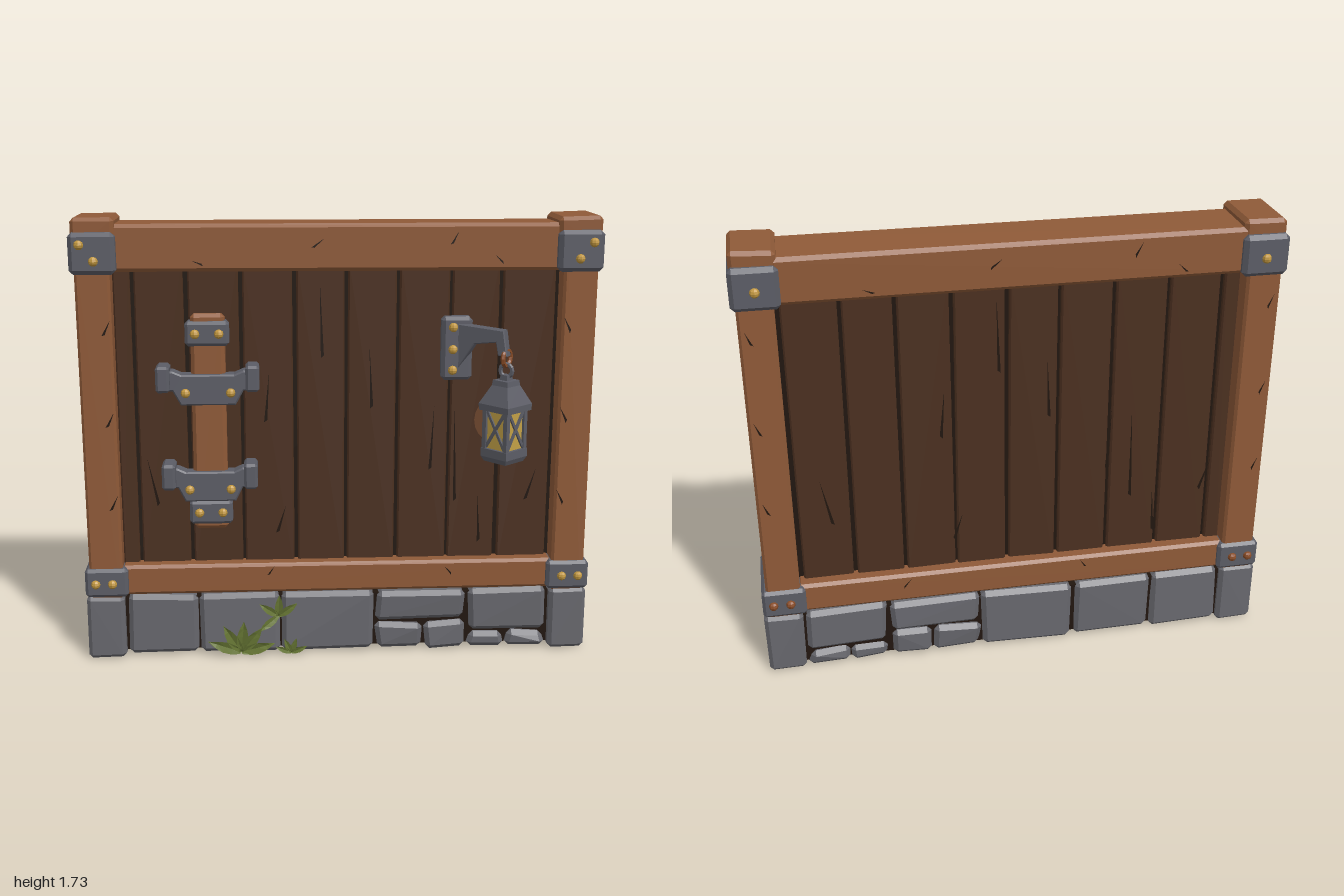
import * as THREE from 'three';
import { ConvexGeometry } from 'three/addons/geometries/ConvexGeometry.js';

const V = (x, y, z) => new THREE.Vector3(x, y, z);

function mat(name, color, side = THREE.FrontSide) {
  const m = new THREE.MeshStandardMaterial({ color, side, flatShading: true });
  m.name = name;
  return m;
}

export function createModel() {
  const root = new THREE.Group();
  root.name = 'timberWallSection';
  const wood = mat('warm wood', 0x8f5a38);
  const plankMat = mat('dark planks', 0x4b3020);
  const dark = mat('dark gaps', 0x21160f, THREE.DoubleSide);
  const metal = mat('iron', 0x5c5d66);
  const stone = mat('stone', 0x68686e);
  const gold = mat('brass', 0xc0963f);
  const glass = mat('lantern glass', 0xc2a047);
  const rust = mat('rusty iron', 0x8a4d28);
  const leafMat = mat('leaf green', 0x6a7a36, THREE.DoubleSide);
  const knot = mat('lighter wood patch', 0x6b4329, THREE.DoubleSide);

  let seed = 7;
  const rnd = () => {
    seed = (seed * 16807) % 2147483647;
    return seed / 2147483647 - 0.5;
  };

  function add(name, geometry, material, x = 0, y = 0, z = 0, parent = root) {
    const m = new THREE.Mesh(geometry, material);
    m.name = name;
    m.position.set(x, y, z);
    parent.add(m);
    return m;
  }

  // Chamfered block between two corners, optionally roughened
  function block(name, material, [x0, x1], [y0, y1], [z0, z1], bevel = 0.012, rough = 0, parent = root) {
    const hx = (x1 - x0) / 2, hy = (y1 - y0) / 2, hz = (z1 - z0) / 2, pts = [];
    for (const sx of [-1, 1]) for (const sy of [-1, 1]) for (const sz of [-1, 1]) {
      const dx = rnd() * rough, dy = rnd() * rough, dz = rnd() * rough;
      for (const [a, b, c] of [[0, 1, 1], [1, 0, 1], [1, 1, 0]]) {
        pts.push(V(sx * (hx - a * bevel) + dx, sy * (hy - b * bevel) + dy, sz * (hz - c * bevel) + dz));
      }
    }
    return add(name, new ConvexGeometry(pts), material, (x0 + x1) / 2, (y0 + y1) / 2, (z0 + z1) / 2, parent);
  }

  const boltGeo = new THREE.SphereGeometry(0.018, 8, 6);
  const bolt = (x, y, z, material = gold) => add('bolt', boltGeo, material, x, y, z);

  // Stone footing: rough blocks around a dark core
  add('footingCore', new THREE.BoxGeometry(1.94, 0.22, 0.21), dark, 0, 0.14, -0.075);
  const stones = [
    [-0.83, -0.56, 0.015, 0.265], [-0.55, -0.235, 0.015, 0.265], [-0.225, 0.14, 0.015, 0.265],
    [0.15, 0.505, 0.135, 0.265], [0.15, 0.335, 0.015, 0.127], [0.345, 0.505, 0.015, 0.127],
    [0.52, 0.83, 0.085, 0.265], [0.52, 0.665, 0.015, 0.08], [0.675, 0.83, 0.015, 0.08],
  ];
  for (const [x0, x1, y0, y1] of stones) block('footingStone', stone, [x0, x1], [y0, y1], [-0.2, 0.055], 0.018, 0.012);

  // Corner stones, posts, caps and iron sleeves
  for (const s of [-1, 1]) {
    const span = (a, b) => (s > 0 ? [a, b] : [-b, -a]);
    block('cornerStone', stone, span(0.842, 0.99), [0.01, 0.267], [-0.205, 0.07], 0.015, 0.006);
    block('post', wood, span(0.845, 0.975), [0.26, 1.6], [-0.2, 0.066], 0.01);
    block('postCap', wood, span(0.825, 0.985), [1.6, 1.735], [-0.19, 0.06], 0.014, 0.006);
    block('lowerSleeve', metal, span(0.825, 0.992), [0.27, 0.385], [-0.212, 0.08], 0.012);
    block('upperSleeve', metal, span(0.82, 0.992), [1.53, 1.685], [-0.215, 0.082], 0.016);
    bolt(s * 0.95, 1.64, 0.082);
    bolt(s * 0.9, 1.58, 0.082);
    bolt(s * 0.905, 1.6, -0.215);
    for (const x of [0.885, 0.95]) {
      bolt(s * x, 0.325, 0.08);
      bolt(s * x, 0.325, -0.212, rust);
    }
  }

  // Horizontal beams
  block('topBeam', wood, [-0.85, 0.85], [1.535, 1.71], [-0.19, 0.045], 0.014, 0.006);
  block('bottomBeam', wood, [-0.85, 0.85], [0.268, 0.388], [-0.19, 0.052], 0.012, 0.004);

  // Vertical planks over a dark backing
  add('plankBacking', new THREE.BoxGeometry(1.7, 1.18, 0.1), dark, 0, 0.96, -0.07);
  const joints = [-0.85, -0.775, -0.575, -0.37, -0.165, 0.03, 0.23, 0.43, 0.625, 0.835];
  for (let i = 0; i < joints.length - 1; i++) {
    block('plank', plankMat, [joints[i] + 0.007, joints[i + 1] - 0.007], [0.37, 1.55], [-0.14, 0], 0.006, 0.006);
  }

  // Thin dark cracks: x, y, length, lean, surface depth
  const crack = (x, y, len, lean, z) => {
    const w = Math.min(0.012, len * 0.14);
    const shape = new THREE.Shape([[-w / 2, 0], [w / 2, 0.01], [0, len]].map(p => new THREE.Vector2(...p)));
    add('crack', new THREE.ShapeGeometry(shape), dark, x, y, z).rotation.z = lean;
  };
  const plankCracks = [[-0.7, 0.62, 0.2, 0.2], [-0.28, 0.95, 0.2, -0.08], [-0.06, 1.2, 0.3, 0.03], [-0.24, 0.5, 0.12, -0.3],
    [0.13, 1.0, 0.24, 0.04], [0.36, 0.75, 0.26, -0.05], [0.46, 0.62, 0.4, 0.02], [0.74, 0.62, 0.14, -0.3], [0.56, 0.45, 0.2, 0.05]];
  for (const [x, y, l, a] of plankCracks) {
    crack(x, y, l, a, 0.006);
    crack(-x, y, l, -a, -0.146);
  }
  const beamCracks = [[-0.1, 1.62, 0.06, -0.9], [0.42, 1.63, 0.06, -0.5], [-0.5, 1.56, 0.05, 1.2], [0.62, 1.56, 0.05, 0.8]];
  for (const [x, y, l, a] of beamCracks) {
    crack(x, y, l, a, 0.05);
    crack(-x, y, l, -a, -0.195);
  }
  for (const [x, y, l, a] of [[-0.28, 0.34, 0.05, -0.6], [0.45, 0.33, 0.05, 0.7]]) {
    crack(x, y, l, a, 0.056);
    crack(x, y, l, a, -0.194);
  }
  for (const s of [-1, 1]) for (const y of [0.62, 0.95, 1.3]) {
    crack(s * 0.88, y, 0.07, s * 0.45, 0.069);
    crack(s * 0.93, y + 0.1, 0.06, -s * 0.4, -0.203);
  }

  // Hanging board on the wall with end bands
  const bx = -0.495;
  block('hangingBoard', wood, [bx - 0.065, bx + 0.065], [0.535, 1.378], [-0.01, 0.045], 0.014, 0.006);
  for (const y of [1.305, 0.605]) {
    block('boardBand', metal, [bx - 0.083, bx + 0.083], [y - 0.047, y + 0.047], [-0.01, 0.06], 0.012);
    for (const s of [-1, 1]) bolt(bx + s * 0.045, y, 0.06);
  }

  // Winged straps with outward hooks
  const half = [[0.1, -0.06], [0.13, -0.005], [0.185, -0.005], [0.185, 0.06], [0.135, 0.06], [0.1, 0.045]];
  const outline = [...half, ...half.map(([x, y]) => [-x, y]).reverse()];
  for (const [y, w] of [[1.1, 1], [0.72, 0.93]]) {
    const shape = new THREE.Shape(outline.map(([x, v]) => new THREE.Vector2(x * w, v)));
    const geo = new THREE.ExtrudeGeometry(shape, { depth: 0.055, bevelSize: 0.006, bevelThickness: 0.006, bevelSegments: 1 });
    add('wingedStrap', geo, metal, bx, y, 0.008);
    for (const s of [-1, 1]) {
      const hx = bx + s * 0.168 * w;
      block('strapHook', metal, [hx - 0.026, hx + 0.026], [y - 0.01, y + 0.09], [0, 0.108], 0.01);
      bolt(bx + s * 0.085 * w, y - 0.018, 0.07);
    }
  }

  // Lantern mount: wall plate, swung arm with brace, and hook end
  block('mountPlate', metal, [0.392, 0.51], [1.115, 1.36], [-0.01, 0.045], 0.014);
  for (const [x, y] of [[0.435, 1.32], [0.435, 1.235], [0.435, 1.155]]) bolt(x, y, 0.045);
  const armShape = new THREE.Shape([[0, 0.15], [0.18, 0.14], [0.195, 0.05], [0.165, 0.05], [0.155, 0.1], [0.06, 0.085], [0, -0.01]]
    .map(p => new THREE.Vector2(...p)));
  const arm = add('mountArm', new THREE.ExtrudeGeometry(armShape,
    { depth: 0.03, bevelSize: 0.004, bevelThickness: 0.004, bevelSegments: 1 }), metal, 0.475, 1.18, 0.02);
  arm.rotation.y = -0.6;

  // Chain rings
  const ring = (name, material, y, r, turn) =>
    (add(name, new THREE.TorusGeometry(r, 0.009, 6, 12), material, 0.625, y, 0.135).rotation.y = turn);
  ring('chainLink', rust, 1.218, 0.03, 0.9);
  ring('lanternRing', metal, 1.17, 0.024, -0.6);

  // Lantern, turned on its corner
  const lantern = new THREE.Group();
  lantern.name = 'lantern';
  lantern.position.set(0.625, 0, 0.138);
  lantern.rotation.y = 0.7;
  root.add(lantern);
  const square = (name, material, y0, y1, w0, w1) => {
    const g = new THREE.CylinderGeometry(w1 / Math.SQRT2, w0 / Math.SQRT2, y1 - y0, 4);
    g.rotateY(Math.PI / 4);
    add(name, g, material, 0, (y0 + y1) / 2, 0, lantern);
  };
  square('lanternFoot', metal, 0.82, 0.84, 0.105, 0.125);
  square('lanternBase', metal, 0.84, 0.872, 0.125, 0.125);
  square('lanternGlass', glass, 0.87, 1.03, 0.1, 0.1);
  square('lanternBrim', metal, 1.02, 1.045, 0.14, 0.142);
  square('lanternRoof', metal, 1.045, 1.115, 0.142, 0.075);
  square('lanternCap', metal, 1.115, 1.135, 0.075, 0.07);
  square('lanternNeck', metal, 1.135, 1.155, 0.035, 0.03);
  for (let i = 0; i < 4; i++) {
    const side = new THREE.Group();
    side.name = 'lanternSide';
    side.rotation.y = i * Math.PI / 2;
    lantern.add(side);
    add('lanternPost', new THREE.BoxGeometry(0.018, 0.16, 0.018), metal, 0.051, 0.95, 0.051, side);
    for (const a of [-0.55, 0.55]) {
      add('lanternCrossBar', new THREE.BoxGeometry(0.011, 0.165, 0.008), metal, 0, 0.95, 0.053, side).rotation.z = a;
    }
  }
  add('wallPatch', new THREE.CircleGeometry(0.095, 20), knot, 0.625, 0.95, 0.005);

  // Weeds: fans of pointed, drooping leaves
  function weed(x, y, size, angles) {
    for (const a of angles) {
      const g = new THREE.PlaneGeometry(1, 1, 2, 4), p = g.attributes.position;
      for (let i = 0; i < p.count; i++) {
        const t = p.getY(i) + 0.5, u = p.getX(i);
        const w = 0.34 * Math.sin(Math.PI * Math.min(1, 0.12 + t * 0.88));
        p.setXYZ(i, u * w * size, t * size, (0.3 * t - 0.12 * t * t + Math.abs(u) * 0.1) * size);
      }
      g.computeVertexNormals();
      add('weedLeaf', g, leafMat, x, y, 0.056).rotation.z = a;
    }
  }
  weed(-0.39, 0.02, 0.14, [-1.25, -0.65, -0.1, 0.5, 1.15]);
  weed(-0.24, 0.17, 0.095, [-0.9, -0.05, 0.9, 2.2]);
  weed(-0.19, 0.012, 0.07, [-1.1, -0.3, 0.4, 1.1]);

  return root;
}
